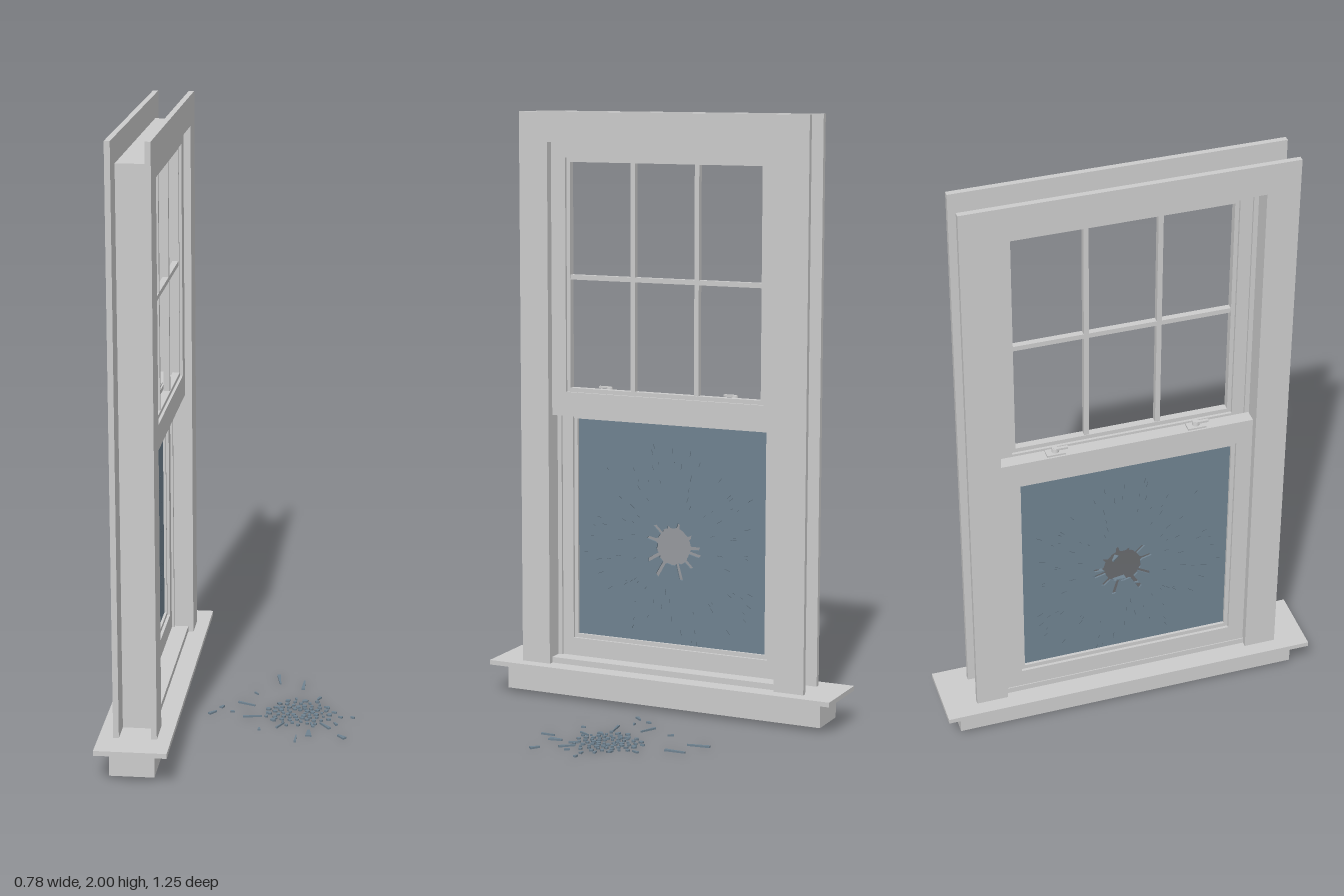
import * as THREE from 'three';

const GREY = new THREE.MeshStandardMaterial({ color: 0xcccccc });
const GLASS = new THREE.MeshStandardMaterial({ color: 0x6f8290 });
const CRACK = new THREE.MeshStandardMaterial({ color: 0x55646f });

// small seeded generator
let seed = 7;
const rnd = () => (seed = (seed * 16807) % 2147483647) / 2147483647;

const toShape = (pts) => new THREE.Shape(pts.map(([z, y]) => new THREE.Vector2(z, y)));
const rect = (w, y0, y1) => [[-w, y0], [w, y0], [w, y1], [-w, y1]];

function add(parent, name, geometry, material = GREY) {
  const mesh = new THREE.Mesh(geometry, material);
  mesh.name = name;
  parent.add(mesh);
  return mesh;
}

// outline in the z-y plane, given thickness from x0 to x1
function slab(parent, name, outline, hole, x0, x1, material) {
  const shape = toShape(outline);
  if (hole) shape.holes.push(toShape(hole));
  const g = new THREE.ExtrudeGeometry(shape, { depth: x1 - x0, bevelEnabled: false });
  g.rotateY(-Math.PI / 2).translate(x1, 0, 0);
  return add(parent, name, g, material);
}

function box(parent, name, x0, x1, y0, y1, z0, z1, material) {
  const g = new THREE.BoxGeometry(x1 - x0, y1 - y0, z1 - z0);
  g.translate((x0 + x1) / 2, (y0 + y1) / 2, (z0 + z1) / 2);
  return add(parent, name, g, material);
}

// frame open at the bottom
const arch = (wo, wi, bottom, top, innerTop) => [
  [-wo, bottom], [-wi, bottom], [-wi, innerTop], [wi, innerTop],
  [wi, bottom], [wo, bottom], [wo, top], [-wo, top],
];

// sash with a thinner glazing bead inside its opening
function sash(parent, name, x0, x1, y0, y1, in0, in1) {
  const g = new THREE.Group();
  g.name = name;
  parent.add(g);
  const mid = (x0 + x1) / 2;
  slab(g, 'sashFrame', rect(0.413, y0, y1), rect(0.36, in0, in1), x0, x1);
  slab(g, 'glazingBead', rect(0.36, in0, in1), rect(0.347, in0 + 0.014, in1 - 0.014), mid - 0.012, mid + 0.012);
  return g;
}

// pane outline broken by a jagged hole with radiating slots
function brokenHole() {
  const slots = { 1: 0.1, 3: 0.1, 5: 0.075, 7: 0.085, 10: 0.08, 12: 0.1, 13: 0.105, 15: 0.1, 17: 0.12, 20: 0.125, 22: 0.11 };
  const pts = [];
  const n = 24, cz = -0.008, cy = 0.55;
  for (let i = 0; i < n; i++) {
    const a = (i / n) * Math.PI * 2;
    const put = (r, da) => pts.push([cz + r * Math.cos(a + da), cy + r * Math.sin(a + da)]);
    const base = 0.06 + 0.008 * rnd();
    put(base, -0.09);
    if (slots[i]) {
      put(slots[i], -0.055);
      put(slots[i] - 0.006, 0.055);
    }
    put(base, 0.09);
  }
  return pts;
}

// flat angular splinter lying on the ground between two points
function splinter(parent, x1, z1, x2, z2, w) {
  const dx = x2 - x1, dz = z2 - z1, len = Math.hypot(dx, dz);
  const shape = toShape([[-len / 2, -w / 2], [len / 2, -w * 0.2], [len / 2, w * 0.2], [-len / 2, w / 2]]);
  const g = new THREE.ExtrudeGeometry(shape, { depth: 0.006, bevelEnabled: false });
  g.rotateX(-Math.PI / 2).rotateY(-Math.atan2(dz, dx));
  g.translate((x1 + x2) / 2, 0, (z1 + z2) / 2);
  add(parent, 'splinter', g, GLASS);
}

export function createModel() {
  seed = 7;
  const model = new THREE.Group();
  model.name = 'brokenWindow';

  // sill and apron
  box(model, 'sill', -0.39, -0.16, 0.102, 0.118, -0.628, 0.626);
  box(model, 'apron', -0.348, -0.205, 0.015, 0.102, -0.58, 0.578);

  // casing boards on both faces, jamb between them
  for (const [x0, x1, name] of [[-0.343, -0.325, 'innerCasing'], [-0.223, -0.205, 'outerCasing']])
    slab(model, name, arch(0.52, 0.415, 0.118, 2, 1.9), null, x0, x1);
  slab(model, 'jamb', arch(0.436, 0.415, 0.118, 1.92, 1.9), null, -0.325, -0.223);
  slab(model, 'partingBead', arch(0.415, 0.4, 0.118, 1.9, 1.885), null, -0.279, -0.271);
  box(model, 'innerSill', -0.325, -0.223, 0.118, 0.138, -0.415, 0.415);

  // upper sash, unglazed, with six lights
  const upper = sash(model, 'upperSash', -0.271, -0.229, 0.98, 1.9, 1.062, 1.848);
  for (const z of [-0.116, 0.116])
    box(upper, 'verticalMuntin', -0.26, -0.24, 1.07, 1.84, z - 0.008, z + 0.008);
  box(upper, 'horizontalMuntin', -0.26, -0.24, 1.442, 1.458, -0.35, 0.35);

  // lower sash with the broken pane
  const lower = sash(model, 'lowerSash', -0.322, -0.279, 0.138, 1.06, 0.2, 0.978);
  slab(lower, 'brokenPane', rect(0.352, 0.208, 0.97), brokenHole(), -0.303, -0.297, GLASS);

  // hairline cracks radiating across the pane
  for (let i = 0; i < 90; i++) {
    const a = i * 2.4 + rnd() * 0.3, r = 0.15 + 0.2 * rnd();
    const z = -0.008 + r * Math.cos(a), y = 0.55 + r * Math.sin(a);
    if (Math.abs(z) > 0.33) continue;
    const crack = add(lower, 'crack', new THREE.BoxGeometry(0.0066, 0.0015, 0.006 + 0.016 * rnd()), CRACK);
    crack.position.set(-0.3, y, z);
    crack.rotation.x = -a;
  }

  // sash locks on the meeting rail
  for (const z of [-0.23, 0.23]) {
    const lock = new THREE.Group();
    lock.name = 'sashLock';
    box(lock, 'lockBase', -0.316, -0.284, 1.06, 1.066, z - 0.03, z + 0.03);
    const knob = add(lock, 'lockPivot', new THREE.CylinderGeometry(0.01, 0.012, 0.012, 12));
    knob.position.set(-0.298, 1.072, z);
    box(lock, 'lockLever', -0.306, -0.296, 1.072, 1.079, z - 0.006, z + 0.04);
    model.add(lock);
  }

  // long splinters scattered on the ground: x1, z1, x2, z2, width
  const debris = new THREE.Group();
  debris.name = 'scatteredGlass';
  model.add(debris);
  [
    [0.105, -0.325, 0.117, -0.25, 0.012], [0.198, -0.21, 0.198, -0.28, 0.012],
    [0.037, -0.167, 0.05, -0.15, 0.006], [-0.01, -0.078, 0.048, -0.053, 0.008],
    [-0.098, 0.03, -0.075, 0.007, 0.012], [-0.064, -0.025, -0.055, -0.04, 0.014],
    [-0.028, 0.006, -0.014, 0.004, 0.009], [0.017, 0.043, 0.08, 0.032, 0.008],
    [0.135, 0.123, 0.157, 0.082, 0.007], [0.115, 0.065, 0.13, 0.043, 0.013],
    [0.245, 0.18, 0.243, 0.135, 0.02], [0.365, 0.187, 0.34, 0.165, 0.016],
    [0.205, 0.23, 0.205, 0.182, 0.008], [0.31, 0.113, 0.275, 0.07, 0.01],
    [0.08, 0.148, 0.08, 0.132, 0.01], [0.255, 0.105, 0.245, 0.075, 0.01],
    [0.262, -0.145, 0.253, -0.122, 0.01], [0.387, 0.017, 0.373, 0.013, 0.011],
    [0.347, 0.018, 0.333, 0.014, 0.012], [0.332, 0.082, 0.322, 0.065, 0.01],
    [0.297, -0.06, 0.28, -0.066, 0.01], [0.21, -0.112, 0.205, -0.098, 0.012],
    [0.325, -0.02, 0.308, -0.022, 0.01], [0.09, 0.003, 0.108, 0.001, 0.01],
    [0.12, -0.05, 0.135, -0.035, 0.01], [0.18, -0.13, 0.184, -0.115, 0.009],
  ].forEach((s) => splinter(debris, ...s));

  // small fragments, denser toward the middle
  for (let i = 0; i < 66; i++) {
    const a = i * 2.4, r = 0.02 + 0.095 * Math.pow(i / 66, 0.8);
    const x = 0.2 + r * Math.cos(a), z = -0.005 + r * Math.sin(a);
    const s = 0.006 + 0.004 * rnd();
    const bit = add(debris, 'fragment', new THREE.CylinderGeometry(s, s, 0.006, 4 + (i % 2)), GLASS);
    bit.position.set(x, 0.003, z);
    bit.rotation.y = rnd() * 6;
    bit.scale.x = 0.6 + 0.5 * rnd();
  }
  return model;
}
